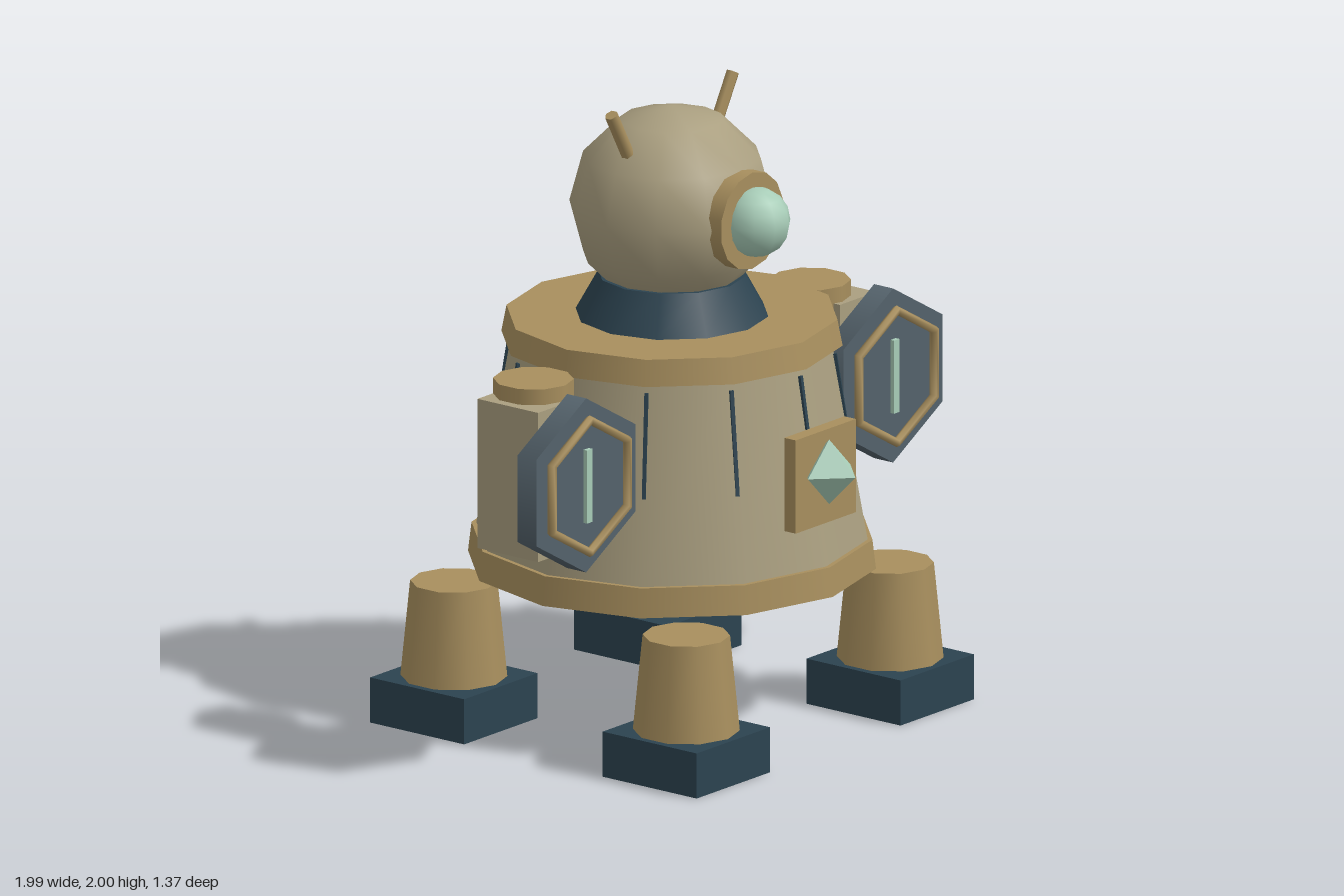
import * as THREE from 'three';

const mat = (name, color) => new THREE.MeshStandardMaterial({ name, color });

export function createModel() {
  const shell = mat('shell cream', 0xaa9f80);
  const brass = mat('brass', 0xa88f5e);
  const navy = mat('dark navy', 0x2c4350);
  const slate = mat('slate', 0x54626b);
  const mint = mat('mint glass', 0xa8cdb8);

  const model = new THREE.Group();
  model.name = 'robot';
  const CZ = -0.04; // depth of the body axis

  const add = (name, geometry, material, x, y, z, parent = model) => {
    const mesh = new THREE.Mesh(geometry, material);
    mesh.name = name;
    mesh.position.set(x, y, z);
    parent.add(mesh);
    return mesh;
  };
  // upright tapered drum between two heights
  const drum = (name, material, rTop, rBottom, y0, y1, sides, x = 0, z = CZ) =>
    add(name, new THREE.CylinderGeometry(rTop, rBottom, y1 - y0, sides), material, x, (y0 + y1) / 2, z);

  // torso
  drum('baseRing', brass, 0.625, 0.636, 0.487, 0.58, 12);
  drum('torso', shell, 0.5, 0.61, 0.58, 1.2, 12);
  drum('collar', brass, 0.516, 0.532, 1.2, 1.283, 12);
  drum('neck', navy, 0.23, 0.302, 1.28, 1.41, 12);

  // narrow ribs along the torso corners
  for (let i = 0; i < 12; i++) {
    const pivot = new THREE.Group();
    pivot.name = 'rib';
    pivot.position.set(0, 1.01, CZ);
    pivot.rotation.y = (i * Math.PI) / 6;
    const rib = add('ribBar', new THREE.BoxGeometry(0.012, 0.33, 0.02), navy, 0, 0, 0.529, pivot);
    rib.rotation.x = -0.155;
    model.add(pivot);
  }

  // head and eye
  add('head', new THREE.SphereGeometry(0.32, 12, 6), shell, 0, 1.63, CZ);
  const socket = add('eyeSocket', new THREE.CylinderGeometry(0.155, 0.155, 0.055, 14), brass, 0, 1.637, 0.25);
  socket.rotation.x = Math.PI / 2;
  add('eye', new THREE.SphereGeometry(0.109, 10, 8), mint, 0, 1.637, 0.293);

  // chest plate and gem
  add('chestPlate', new THREE.BoxGeometry(0.295, 0.3, 0.045), brass, 0, 0.87, 0.546);
  add('chestGem', new THREE.OctahedronGeometry(0.104), mint, 0, 0.887, 0.582);

  for (const s of [1, -1]) {
    const side = s > 0 ? 'left' : 'right';

    // antenna
    const antenna = add(side + 'Antenna', new THREE.CylinderGeometry(0.021, 0.021, 0.21, 6), brass, s * 0.247, 1.895, CZ);
    antenna.rotation.z = -s * 0.51;

    // shoulder and arm
    drum(side + 'Shoulder', brass, 0.125, 0.125, 1.11, 1.23, 10, s * 0.68);
    add(side + 'Arm', new THREE.BoxGeometry(0.18, 0.48, 0.24), shell, s * 0.74, 0.94, -0.02);

    // hexagonal shield with trim and a glowing slit
    const shield = new THREE.Group();
    shield.name = side + 'Shield';
    shield.position.set(s * 0.753, 0.953, 0.19);
    add('shieldPlate', new THREE.CylinderGeometry(0.28, 0.28, 0.075, 6), slate, 0, 0, 0, shield).rotation.x = Math.PI / 2;
    add('shieldTrim', new THREE.TorusGeometry(0.213, 0.015, 6, 6), brass, 0, 0, 0.052, shield).rotation.z = Math.PI / 6;
    add('shieldSlit', new THREE.BoxGeometry(0.026, 0.235, 0.02), mint, 0, 0, 0.042, shield);
    model.add(shield);

    // legs and feet
    for (const z of [0.42, -0.5]) {
      const end = z > 0 ? 'Front' : 'Back';
      drum(side + end + 'Leg', brass, 0.135, 0.165, 0.145, 0.45, 10, s * 0.5, z);
      add(side + end + 'Foot', new THREE.BoxGeometry(0.36, 0.145, 0.372), navy, s * 0.5, 0.0725, z);
    }
  }
  return model;
}
